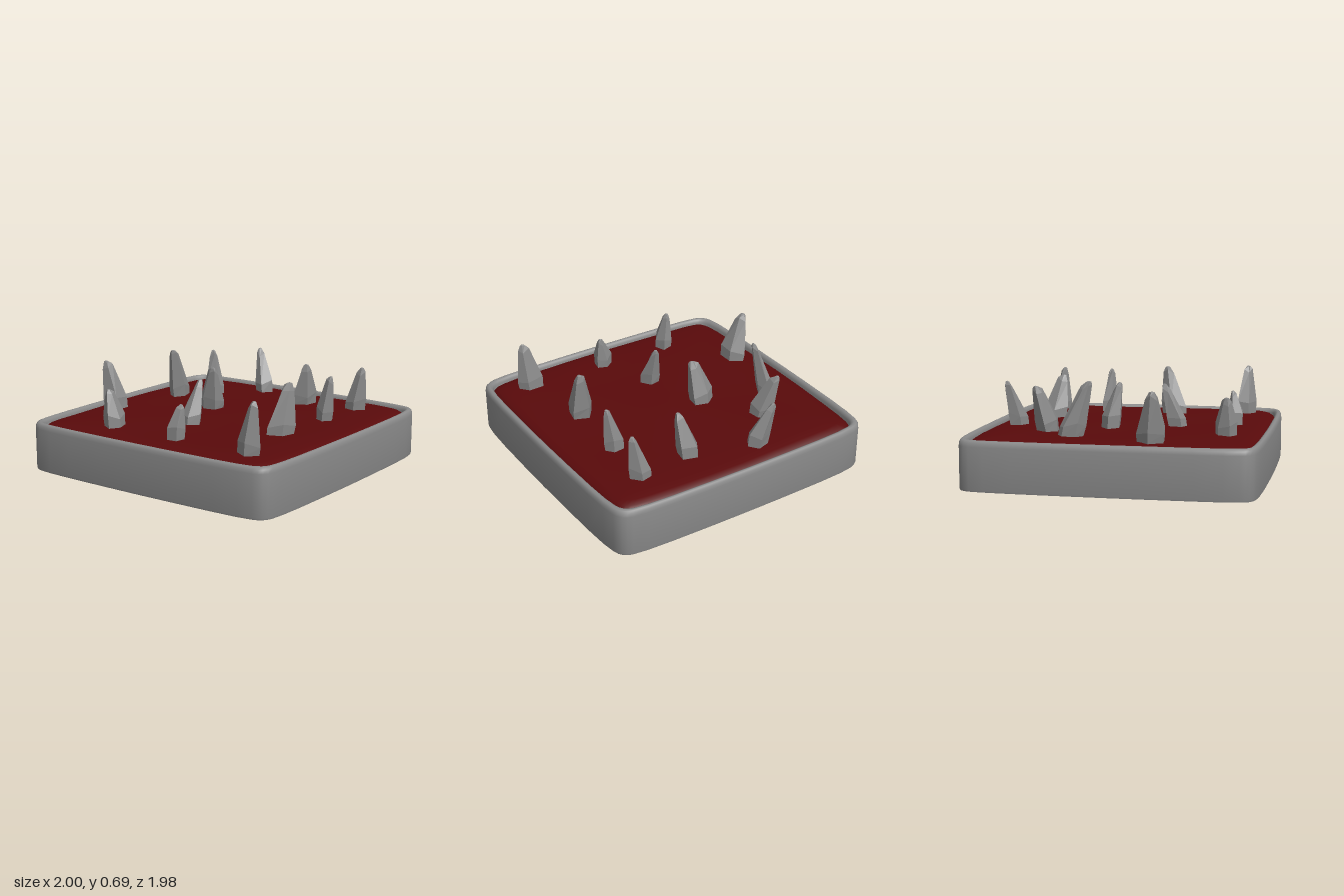
import * as THREE from 'three';
import { mergeVertices, toCreasedNormals } from 'three/addons/utils/BufferGeometryUtils.js';

// Skin a stack of closed rings (arrays of [x, y, z], all of equal length)
function loft(rings) {
  const n = rings[0].length, index = [];
  for (let j = 0; j < rings.length - 1; j++) {
    for (let i = 0; i < n; i++) {
      const a = j * n + i, b = j * n + (i + 1) % n;
      index.push(a, a + n, b, b, a + n, b + n);
    }
  }
  const geo = new THREE.BufferGeometry();
  geo.setAttribute('position', new THREE.Float32BufferAttribute(rings.flat(2), 3));
  geo.setIndex(index);
  geo.computeVertexNormals();
  return geo;
}

// Rounded square outline with slightly bowed sides, turned from one quarter
function makeOutline() {
  const q = [[1, 0], [0.998, 0.3], [0.993, 0.6], [0.985, 0.78], [0.973, 0.88], [0.962, 0.915],
    [0.942, 0.942], [0.915, 0.96], [0.88, 0.971], [0.78, 0.985], [0.6, 0.993], [0.3, 0.998]];
  const pts = [];
  for (let k = 0; k < 4; k++) {
    const c = [1, 0, -1, 0][k], s = [0, 1, 0, -1][k];
    for (const [x, z] of q) pts.push([x * c - z * s, (x * s + z * c) * 0.988]);
  }
  return pts;
}

export function createModel() {
  const group = new THREE.Group();
  const grey = new THREE.MeshStandardMaterial({ color: 0x8a8a8a });
  const stone = new THREE.MeshStandardMaterial({ color: 0x8a8a8a, flatShading: true });
  const red = new THREE.MeshStandardMaterial({ color: 0x590a0b, side: THREE.DoubleSide });
  const outline = makeOutline();

  // Tray: closed bottom, outer wall, rounded rim, inner wall
  const profile = [[0, 0], [0.997, 0], [1, 0.012], [1, 0.29], [0.997, 0.315], [0.988, 0.328],
    [0.975, 0.332], [0.962, 0.325], [0.955, 0.305], [0.952, 0.22]];
  const tray = new THREE.Mesh(toCreasedNormals(
    loft(profile.map(([s, y]) => outline.map(([x, z]) => [x * s, y, z * s]))), 0.9), grey);
  tray.name = 'tray';
  group.add(tray);

  // Red filling: gently rippled sheet that sinks at its edge
  const fill = [[0.958, 0.275], [0.945, 0.295], [0.925, 0.311], [0.89, 0.322], [0.82, 0.328],
    [0.7, 0.331], [0.55, 0.331], [0.4, 0.331], [0.2, 0.331], [0, 0.331]];
  const filling = new THREE.Mesh(mergeVertices(loft(fill.map(([s, y]) => outline.map(([x, z]) => {
    const ripple = 0.005 * Math.sin(5.5 * x * s + 1) * Math.cos(5 * z * s + 0.5);
    return [x * s, y + ripple, z * s];
  })))), red);
  filling.name = 'filling';
  group.add(filling);

  // Spikes: base x, base z, half width x, half width z, tip x, tip z, height
  const spikes = [
    [-0.21, -0.755, 0.076, 0.070, -0.29, -0.81, 0.64],
    [0.235, -0.605, 0.088, 0.084, 0.285, -0.555, 0.63],
    [0.635, -0.66, 0.076, 0.076, 0.69, -0.65, 0.64],
    [-0.46, -0.47, 0.080, 0.078, -0.53, -0.54, 0.64],
    [-0.645, -0.28, 0.062, 0.090, -0.61, -0.16, 0.69],
    [-0.215, -0.10, 0.088, 0.078, -0.165, -0.05, 0.635],
    [0.61, -0.29, 0.070, 0.060, 0.66, -0.285, 0.64],
    [0.575, 0.21, 0.092, 0.096, 0.61, 0.15, 0.67],
    [-0.06, 0.33, 0.068, 0.080, -0.055, 0.24, 0.62],
    [-0.77, 0.285, 0.093, 0.098, -0.85, 0.30, 0.66],
    [-0.42, 0.71, 0.072, 0.074, -0.46, 0.72, 0.585],
    [0.1, 0.715, 0.064, 0.062, 0.13, 0.69, 0.56],
    [0.69, 0.72, 0.096, 0.070, 0.735, 0.73, 0.675],
  ];
  spikes.forEach(([bx, bz, rx, rz, tx, tz, h], k) => {
    // Levels: height, width factor, lean towards the tip
    const levels = [[0.24, 0.8, -0.1], [0.33, 0.94, 0], [0.4, 0.98, 0.12],
      [h - 0.04, 0.42, 0.85], [h - 0.006, 0.18, 1], [h, 0, 1]];
    const rings = levels.map(([y, w, lean], j) => Array.from({ length: 5 }, (_, i) => {
      const a = i / 5 * Math.PI * 2 + k * 1.9;
      const uneven = 1 + 0.12 * Math.sin(i * 2.3 + k * 1.7);
      const step = j === 2 || j === 3 ? 0.02 * Math.sin(i * 1.9 + k + j) : 0;
      return [bx + (tx - bx) * lean + Math.cos(a) * rx * w * uneven, y + step,
        bz + (tz - bz) * lean + Math.sin(a) * rz * w * uneven];
    }));
    const spike = new THREE.Mesh(loft(rings), stone);
    spike.name = 'spike' + (k + 1);
    group.add(spike);
  });
  return group;
}
